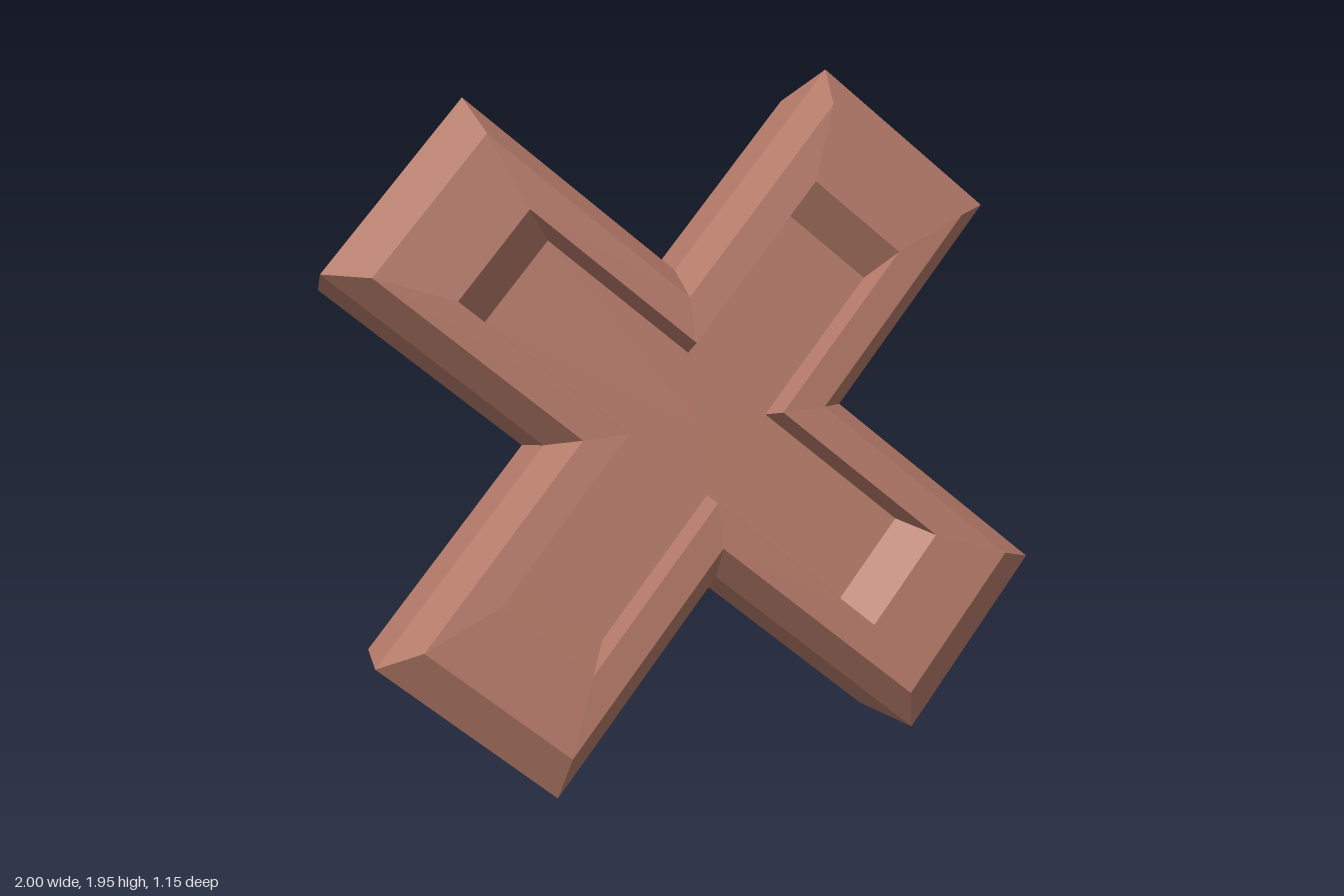
import * as THREE from 'three';

// Twelve-point plus outline: arm reach, half arm width, height (counter-clockwise)
function plusRing(reach, half, height) {
  const points = [];
  for (let k = 0; k < 4; k++) {
    const c = [1, 0, -1, 0][k], s = [0, 1, 0, -1][k];
    for (const [x, y] of [[reach, -half], [reach, half], [half, half]]) {
      points.push([x * c - y * s, x * s + y * c, height]);
    }
  }
  return points;
}

// Skin successive rings, optionally closing the first or last one with a fan
function loft(name, rings, material, capStart, capEnd) {
  const pos = [];
  const tri = (...corners) => corners.forEach((p) => pos.push(...p));
  for (let r = 0; r < rings.length - 1; r++) {
    const a = rings[r], b = rings[r + 1];
    a.forEach((p, i) => {
      const j = (i + 1) % a.length;
      tri(p, a[j], b[j]);
      tri(p, b[j], b[i]);
    });
  }
  const fan = (ring, flip) => {
    const centre = [0, 0, ring[0][2]];
    ring.forEach((p, i) => {
      const q = ring[(i + 1) % ring.length];
      if (flip) tri(centre, q, p);
      else tri(centre, p, q);
    });
  };
  if (capStart) fan(rings[0], true);
  if (capEnd) fan(rings[rings.length - 1], false);
  const geometry = new THREE.BufferGeometry();
  geometry.setAttribute('position', new THREE.Float32BufferAttribute(pos, 3));
  geometry.computeVertexNormals();
  const mesh = new THREE.Mesh(geometry, material);
  mesh.name = name;
  return mesh;
}

export function createModel() {
  const group = new THREE.Group();
  group.name = 'tiltedCross';
  const material = new THREE.MeshStandardMaterial({ color: 0xb47a69, flatShading: true });

  // Body: flat back, straight walls, bevel and broad front rim
  const rim = plusRing(0.7, 0.15, 0.498);
  group.add(loft('crossBody', [
    plusRing(1.01, 0.295, 0),
    plusRing(1.01, 0.295, 0.38),
    plusRing(0.9, 0.235, 0.492),
    rim,
  ], material, true, false));

  // Sunken cross in the front face, with sloping ends
  group.add(loft('frontRecess', [rim, plusRing(0.612, 0.136, 0.403)], material, false, true));

  // Tilt the cross: arm directions u and v, front direction n
  const u = new THREE.Vector3(0.771, -0.634, -0.0685).normalize();
  const n = u.clone().cross(new THREE.Vector3(0.578, 0.743, -0.343)).normalize();
  const v = n.clone().cross(u);
  group.quaternion.setFromRotationMatrix(new THREE.Matrix4().makeBasis(u, v, n));
  group.position.set(-0.046, 0.937, -0.211);

  const model = new THREE.Group();
  model.name = 'cross';
  model.add(group);
  return model;
}
